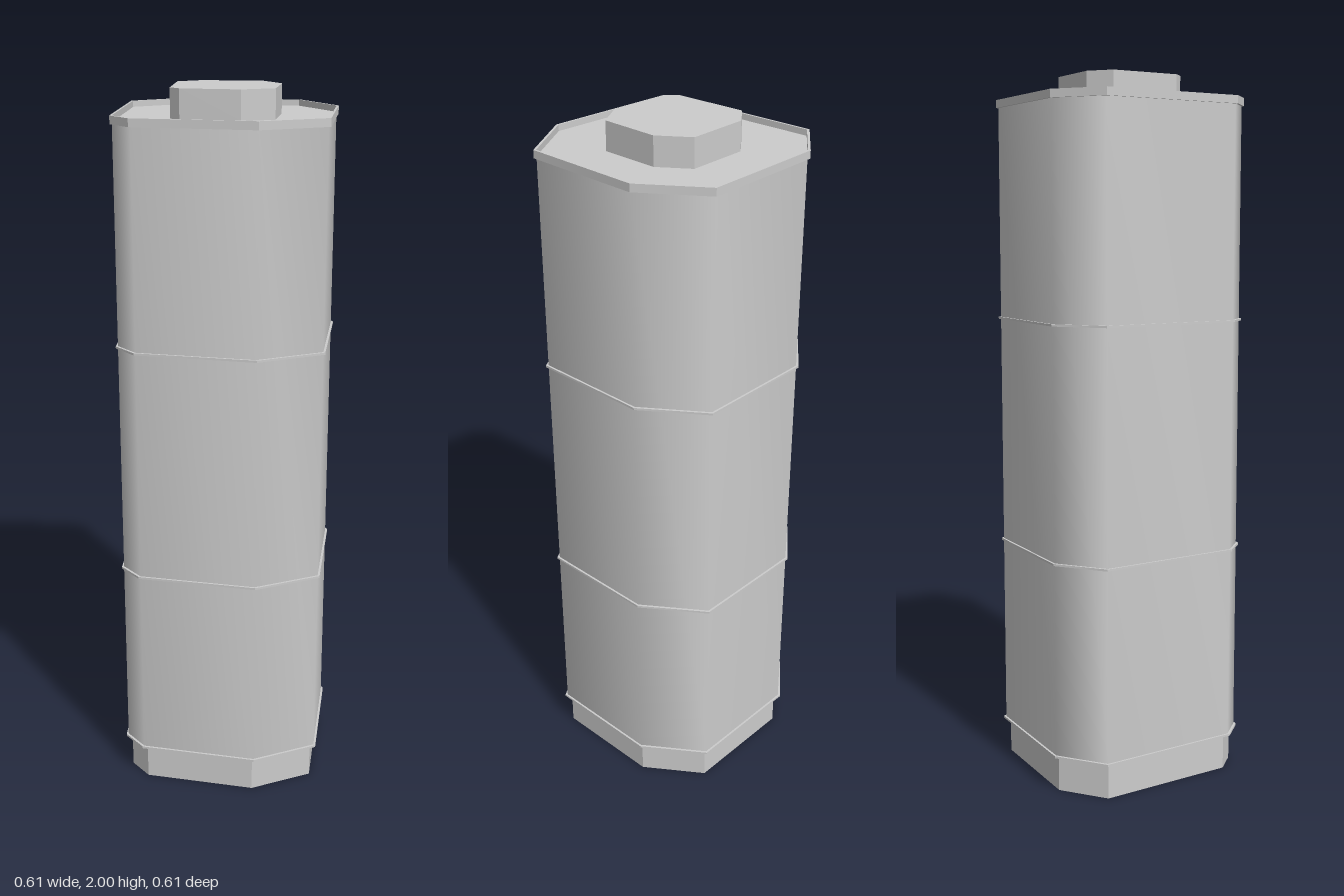
import * as THREE from 'three';

// Irregular eight-sided plan of the tower wall, as x, z corners
const PLAN = [
  [-0.182, -0.291], [0.165, -0.302], [0.288, -0.14], [0.299, 0.193],
  [0.133, 0.3], [-0.197, 0.284], [-0.259, 0.226], [-0.301, -0.187],
];
const scaled = (s) => PLAN.map(([x, z]) => new THREE.Vector2(x * s, z * s));

// Solid slab of the plan between two heights, with an optional hole
function slab(outer, inner, y0, y1) {
  const shape = new THREE.Shape(scaled(outer));
  if (inner) shape.holes.push(new THREE.Path(scaled(inner)));
  const geo = new THREE.ExtrudeGeometry(shape, { depth: y1 - y0, bevelEnabled: false });
  return geo.rotateX(Math.PI / 2).translate(0, y1, 0);
}

// Open tube of the plan; shared corners give it smooth shading
function tube(s, y0, y1, smooth) {
  const pos = [], index = [], n = PLAN.length;
  for (const p of scaled(s)) pos.push(p.x, y0, p.y, p.x, y1, p.y);
  for (let i = 0; i < n; i++) {
    const a = i * 2, b = ((i + 1) % n) * 2;
    index.push(a, a + 1, b + 1, a, b + 1, b);
  }
  let geo = new THREE.BufferGeometry();
  geo.setAttribute('position', new THREE.Float32BufferAttribute(pos, 3));
  geo.setIndex(index);
  if (!smooth) geo = geo.toNonIndexed();
  geo.computeVertexNormals();
  return geo;
}

export function createModel() {
  const group = new THREE.Group();
  const grey = new THREE.MeshStandardMaterial({ color: 0xcccccc, side: THREE.DoubleSide });
  grey.name = 'light grey';
  const add = (name, geo) => {
    const mesh = new THREE.Mesh(geo, grey);
    mesh.name = name;
    group.add(mesh);
  };

  // Hollow foot and wall, open underneath
  add('foot', tube(0.96, 0, 0.105, false));
  add('wall', tube(1, 0.105, 1.92, true));

  // Thin bands around the wall
  add('footBand', slab(1.02, 0.955, 0.102, 0.108));
  add('lowerBand', slab(1.02, 0.995, 0.658, 0.664));
  add('upperBand', slab(1.02, 0.995, 1.317, 1.323));

  // Sunken roof, raised rim and cap block
  add('roof', slab(1, null, 1.915, 1.92));
  add('rim', slab(1.02, 1, 1.915, 1.937));
  add('cap', slab(0.5, null, 1.92, 2));

  return group;
}
